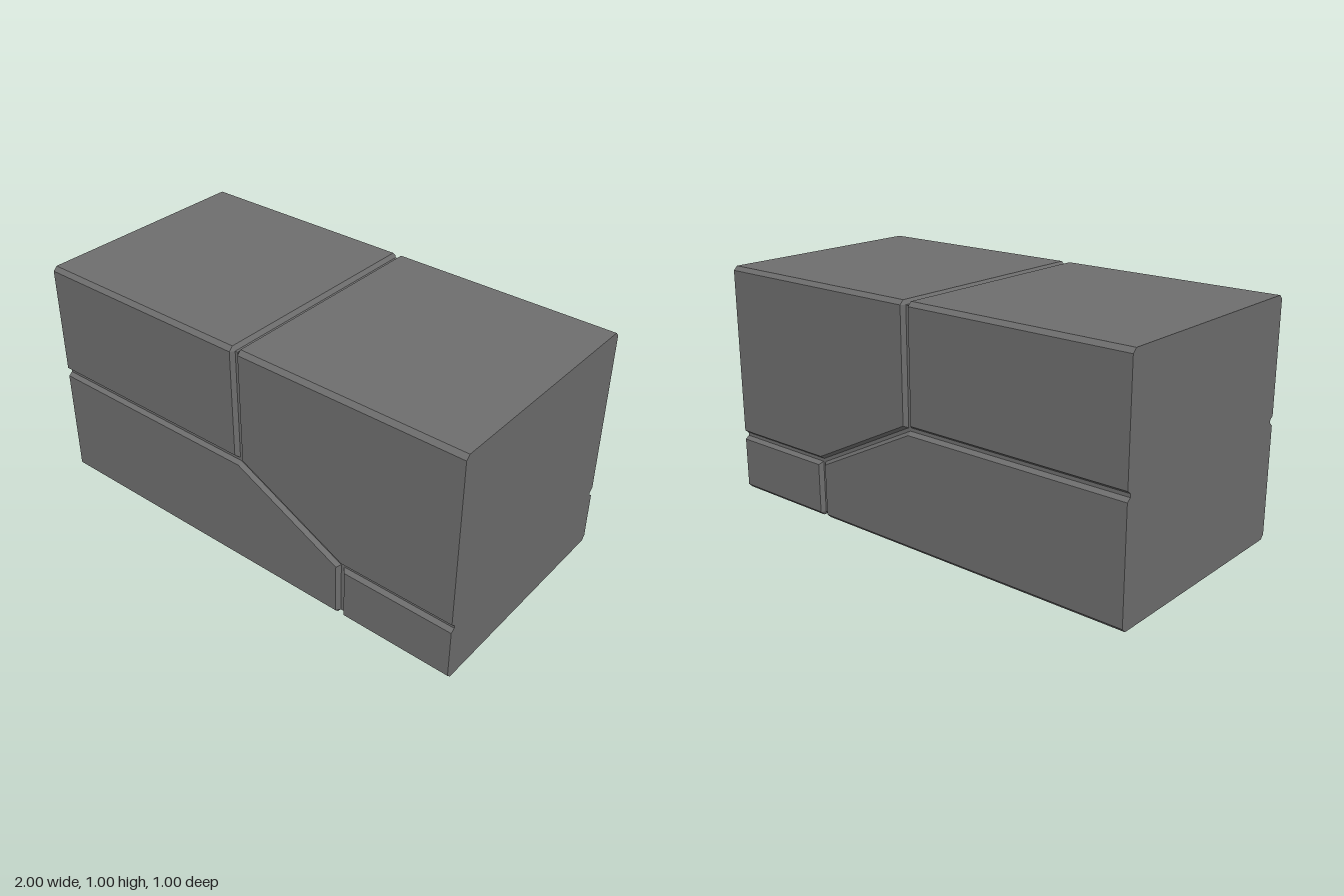
import * as THREE from 'three';
import { ConvexGeometry } from 'three/addons/geometries/ConvexGeometry.js';

const HALF = 0.5;      // half depth of the wall
const BEVEL = 0.017;   // bevel depth on faces, top and bottom
const WIDE = 0.02;     // half width of a joint at the surface
const NARROW = 0.007;  // half width of a joint at its floor

// Anticlockwise outlines; each edge letter: s = joint, o = top or bottom, e = flat end
const STONES = {
  lowerRightStone: { pts: [[-1, 0], [0.5, 0], [0.5, 0.25], [0, 0.5], [-1, 0.5]], edges: 'ossse' },
  lowerLeftStone: { pts: [[0.5, 0], [1, 0], [1, 0.25], [0.5, 0.25]], edges: 'oess' },
  upperRightStone: { pts: [[-1, 0.5], [0, 0.5], [0, 1], [-1, 1]], edges: 'ssoe' },
  upperLeftStone: { pts: [[0, 0.5], [0.5, 0.25], [1, 0.25], [1, 1], [0, 1]], edges: 'sseos' },
};

// Joint centre lines
const JOINTS = [
  [[-1, 0.5], [0, 0.5]],
  [[0, 0.5], [0.5, 0.25]],
  [[0.5, 0.25], [1, 0.25]],
  [[0, 0.5], [0, 1 - BEVEL]],
  [[0.5, 0.25], [0.5, BEVEL]],
];

// Move every edge inward by the amount for its type and intersect neighbours
function inset({ pts, edges }, amount) {
  const n = pts.length;
  const lines = pts.map((a, i) => {
    const b = pts[(i + 1) % n];
    const len = Math.hypot(b[0] - a[0], b[1] - a[1]);
    const nx = -(b[1] - a[1]) / len, ny = (b[0] - a[0]) / len;
    return [nx, ny, nx * a[0] + ny * a[1] + amount[edges[i]]];
  });
  return lines.map((q, i) => {
    const p = lines[(i + n - 1) % n];
    const det = p[0] * q[1] - p[1] * q[0];
    return [(p[2] * q[1] - p[1] * q[2]) / det, (p[0] * q[2] - p[2] * q[0]) / det];
  });
}

// A bevelled stone is the hull of its face, joint and top/bottom outlines
function stoneGeometry(stone) {
  const rings = [
    [inset(stone, { s: WIDE, o: BEVEL, e: 0 }), HALF],
    [inset(stone, { s: NARROW, o: BEVEL, e: 0 }), HALF - BEVEL],
    [inset(stone, { s: WIDE, o: 0, e: 0 }), HALF - BEVEL],
  ];
  const points = [];
  for (const [ring, z] of rings) {
    for (const [x, y] of ring) {
      points.push(new THREE.Vector3(x, y, z), new THREE.Vector3(x, y, -z));
    }
  }
  return new ConvexGeometry(points);
}

export function createModel() {
  const group = new THREE.Group();
  group.name = 'stoneWallBlock';
  const material = new THREE.MeshStandardMaterial({ color: 0x6d6d6d, flatShading: true });

  for (const [name, stone] of Object.entries(STONES)) {
    const mesh = new THREE.Mesh(stoneGeometry(stone), material);
    mesh.name = name;
    group.add(mesh);
  }

  // Recessed mortar floor of each joint
  JOINTS.forEach(([a, b], i) => {
    const dx = b[0] - a[0], dy = b[1] - a[1];
    const geometry = new THREE.BoxGeometry(Math.hypot(dx, dy), 2 * NARROW + 0.002, 2 * (HALF - BEVEL));
    const mesh = new THREE.Mesh(geometry, material);
    mesh.name = `mortarJoint${i + 1}`;
    mesh.position.set((a[0] + b[0]) / 2, (a[1] + b[1]) / 2, 0);
    mesh.rotation.z = Math.atan2(dy, dx);
    group.add(mesh);
  });

  // Fill where three joints meet
  for (const [x, y] of [[0, 0.5], [0.5, 0.25]]) {
    const mesh = new THREE.Mesh(new THREE.CylinderGeometry(0.008, 0.008, 2 * (HALF - BEVEL), 8), material);
    mesh.name = 'mortarJunction';
    mesh.rotation.x = Math.PI / 2;
    mesh.position.set(x, y, 0);
    group.add(mesh);
  }
  return group;
}
